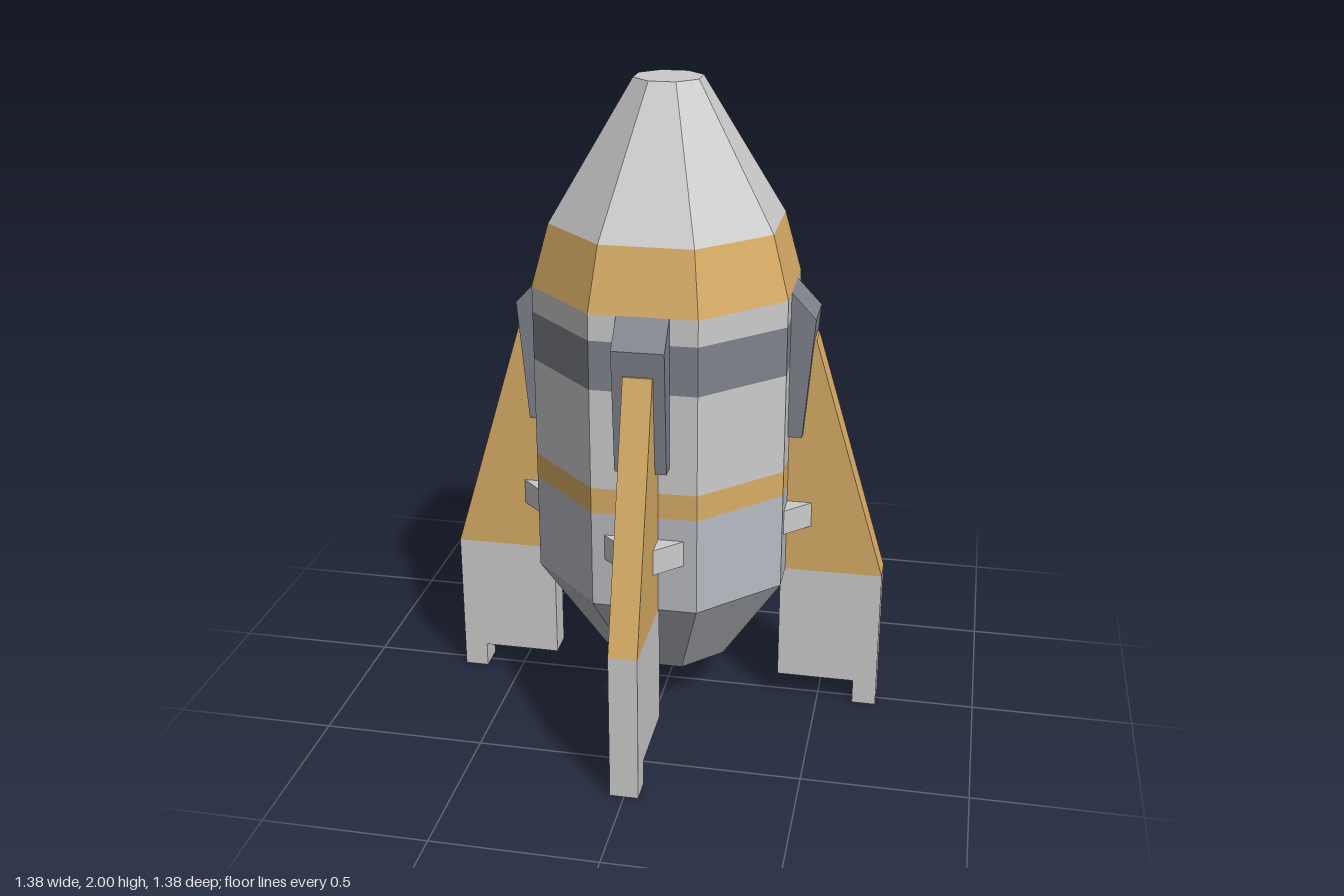
import * as THREE from 'three';

const material = (color) => new THREE.MeshStandardMaterial({ color, flatShading: true });
const GREY = material(0xcccccc);
const LOWER = material(0xb9bbc3);
const DARK = material(0x7f828b);
const ORANGE = material(0xd8ad66);

// Octagonal hull sections, bottom to top: name, y and flat-to-centre distance at each end
const SECTIONS = [
  ['tailCone', 0.16, 0.195, 0.465, 0.385, LOWER],
  ['lowerHull', 0.465, 0.385, 0.77, 0.385, LOWER],
  ['lowerStripe', 0.77, 0.385, 0.85, 0.385, ORANGE],
  ['middleHull', 0.85, 0.385, 1.16, 0.385, GREY],
  ['darkBand', 1.16, 0.385, 1.31, 0.385, DARK],
  ['upperHull', 1.31, 0.385, 1.39, 0.385, GREY],
  ['shoulder', 1.39, 0.385, 1.58, 0.335, ORANGE],
  ['noseCone', 1.58, 0.335, 2, 0.097, GREY],
];

// Fin assembly side profiles: distance outward, height
const LEG = [[0.37, 0.08], [0.615, 0.08], [0.615, 0], [0.69, 0], [0.69, 0.465], [0.37, 0.465]];
const FIN = [[0.37, 0.465], [0.69, 0.465], [0.46, 1.235], [0.37, 1.235]];
const CLAMP = [[0.37, 0.93], [0.428, 0.93], [0.46, 1.31], [0.385, 1.39], [0.37, 1.39]];

function add(parent, name, geometry, mat) {
  const mesh = new THREE.Mesh(geometry, mat);
  mesh.name = name;
  parent.add(mesh);
  return mesh;
}

// Flat slab with the given profile, centred on its thickness
function slab(points, thickness) {
  const shape = new THREE.Shape(points.map(([x, y]) => new THREE.Vector2(x, y)));
  const geometry = new THREE.ExtrudeGeometry(shape, { depth: thickness, bevelEnabled: false });
  return geometry.translate(0, 0, -thickness / 2);
}

// Flat disc with eight sides closing an end of the hull
function cap(apothem, y, up) {
  const geometry = new THREE.CircleGeometry(apothem / Math.cos(Math.PI / 8), 8, Math.PI / 8);
  return geometry.rotateX(up ? -Math.PI / 2 : Math.PI / 2).translate(0, y, 0);
}

export function createModel() {
  const model = new THREE.Group();
  model.name = 'rocket';

  // Hull
  const hull = new THREE.Group();
  hull.name = 'hull';
  model.add(hull);
  const corner = 1 / Math.cos(Math.PI / 8);
  for (const [name, y0, a0, y1, a1, mat] of SECTIONS) {
    const geometry = new THREE.CylinderGeometry(a1 * corner, a0 * corner, y1 - y0, 8, 1, true, Math.PI / 8);
    add(hull, name, geometry.translate(0, (y0 + y1) / 2, 0), mat);
  }
  add(hull, 'noseCap', cap(0.097, 2, true), GREY);
  add(hull, 'tailCap', cap(0.195, 0.16, false), LOWER);

  // Square brace whose corners poke through the hull beside each fin
  add(model, 'finBrace', new THREE.CylinderGeometry(0.505, 0.505, 0.08, 4).translate(0, 0.66, 0), GREY);

  // Four fins, each with a landing leg and a clamp
  for (let i = 0; i < 4; i++) {
    const assembly = new THREE.Group();
    assembly.name = 'finAssembly' + (i + 1);
    assembly.rotation.y = (i * Math.PI) / 2;
    add(assembly, 'landingLeg', slab(LEG, 0.086), GREY);
    add(assembly, 'fin', slab(FIN, 0.086), ORANGE);
    add(assembly, 'clamp', slab(CLAMP, 0.154), DARK);
    model.add(assembly);
  }
  return model;
}
